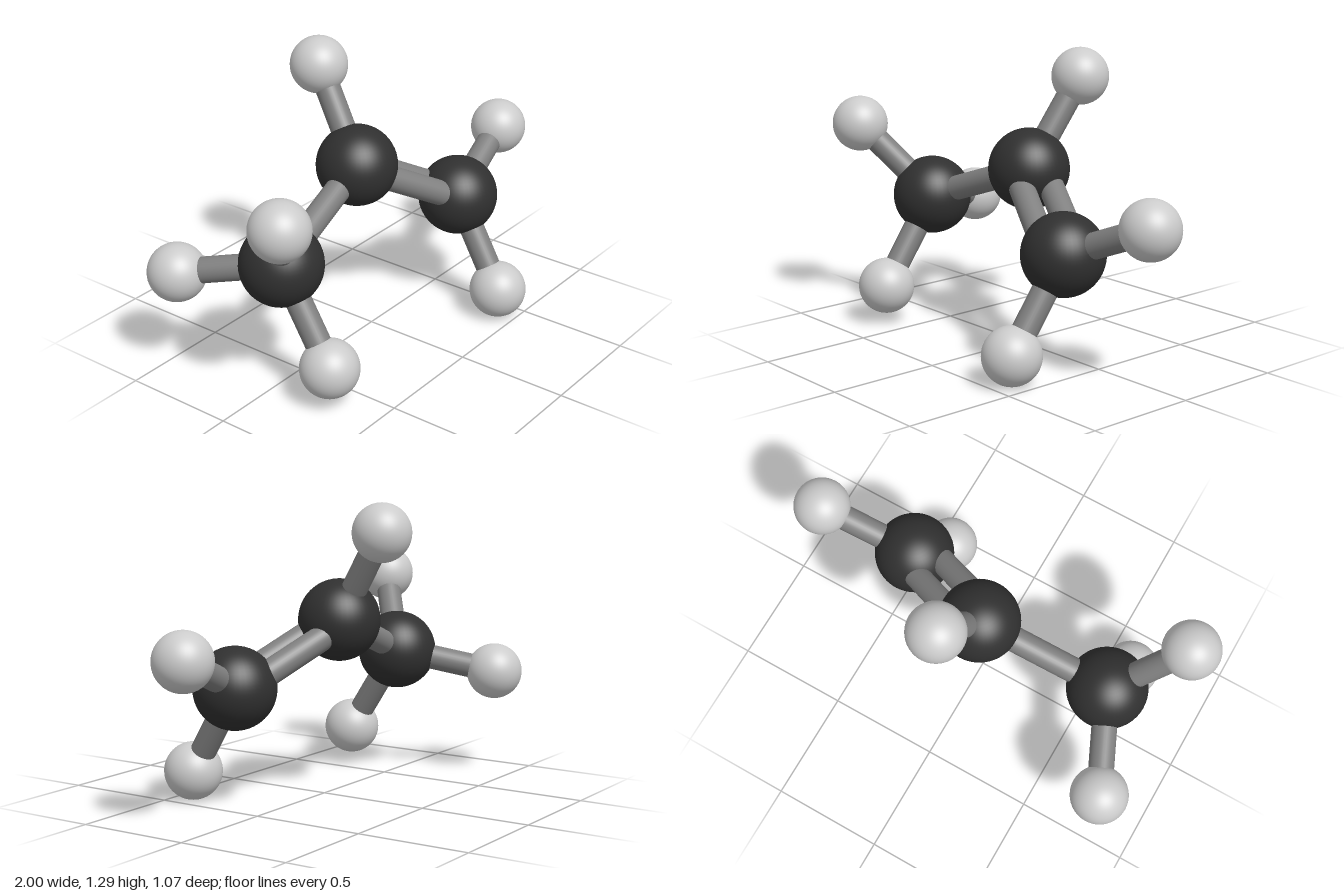
import * as THREE from 'three';

const CARBON_R = 0.179, HYDROGEN_R = 0.127, BOND_R = 0.056, DOUBLE_OFFSET = 0.066;

const carbons = {
  methylCarbon: [-0.617, 0.569, 0.006],
  middleCarbon: [-0.019, 0.777, -0.065],
  endCarbon: [0.443, 0.52, 0.154],
};

// each hydrogen: position and the carbon it hangs on
const hydrogens = [
  [[-0.873, 0.895, 0.224], 'methylCarbon'],
  [[-0.807, 0.478, -0.407], 'methylCarbon'],
  [[-0.633, 0.175, 0.267], 'methylCarbon'],
  [[0.037, 1.167, -0.315], 'middleCarbon'],
  [[0.871, 0.693, 0.085], 'endCarbon'],
  [[0.411, 0.13, 0.407], 'endCarbon'],
];

export function createModel() {
  const model = new THREE.Group();
  model.name = 'molecule';

  const carbonMat = new THREE.MeshStandardMaterial({ color: 0x303030 });
  const hydrogenMat = new THREE.MeshStandardMaterial({ color: 0xcccccc });
  const bondMat = new THREE.MeshStandardMaterial({ color: 0x808080 });
  const carbonGeo = new THREE.SphereGeometry(CARBON_R, 48, 32);
  const hydrogenGeo = new THREE.SphereGeometry(HYDROGEN_R, 48, 32);
  const up = new THREE.Vector3(0, 1, 0);
  const vec = (p) => new THREE.Vector3(...p);

  function addAtom(name, geometry, material, p) {
    const atom = new THREE.Mesh(geometry, material);
    atom.name = name;
    atom.position.set(...p);
    model.add(atom);
  }

  // rod between two atom centres, optionally shifted sideways
  function addBond(name, from, to, shift = 0) {
    const a = vec(from), b = vec(to);
    const dir = b.clone().sub(a);
    const length = dir.length();
    dir.normalize();
    const side = dir.clone().cross(up).normalize();
    const bond = new THREE.Mesh(new THREE.CylinderGeometry(BOND_R, BOND_R, length, 32), bondMat);
    bond.name = name;
    bond.position.copy(a).add(b).multiplyScalar(0.5).addScaledVector(side, shift);
    bond.quaternion.setFromUnitVectors(up, dir);
    model.add(bond);
  }

  // carbon chain: a single bond, then a double bond
  for (const [name, p] of Object.entries(carbons)) addAtom(name, carbonGeo, carbonMat, p);
  addBond('singleBond', carbons.methylCarbon, carbons.middleCarbon);
  for (const s of [-1, 1]) {
    addBond(s < 0 ? 'doubleBondBack' : 'doubleBondFront',
      carbons.middleCarbon, carbons.endCarbon, s * DOUBLE_OFFSET);
  }

  // hydrogens with their bonds
  hydrogens.forEach(([p, parent], i) => {
    addAtom(`hydrogen${i + 1}`, hydrogenGeo, hydrogenMat, p);
    addBond(`hydrogenBond${i + 1}`, carbons[parent], p);
  });

  return model;
}
